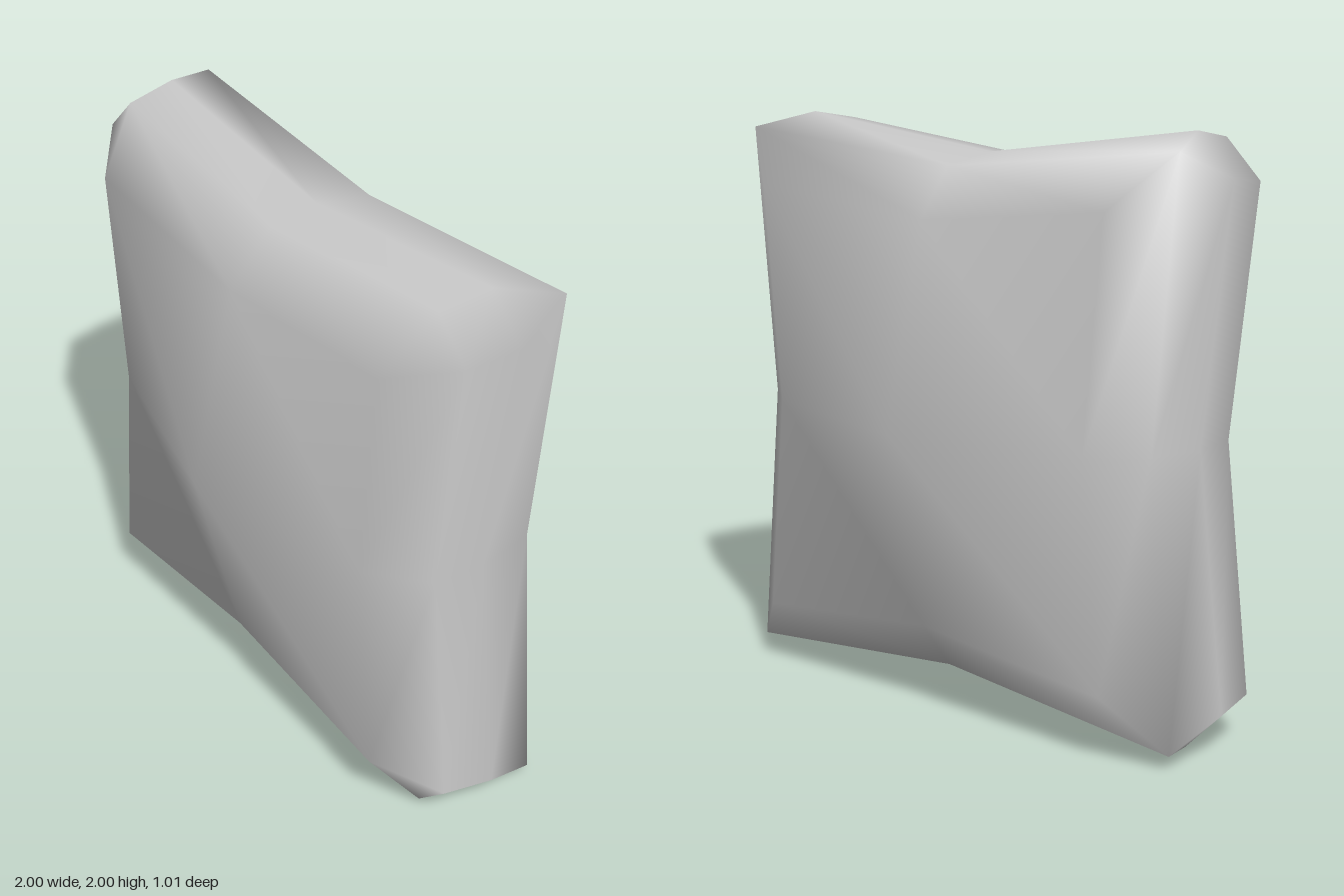
import * as THREE from 'three';
import { mergeVertices } from 'three/addons/utils/BufferGeometryUtils.js';

// Cross-sections from front to back:
// z, reach of the corners, start of the corner cut, reach at the side middles
const RINGS = [
  [0.34, 0.765, 0.765, 0.69],
  [0.18, 0.972, 0.84, 0.875],
  [0, 1, 0.86, 0.895],
  [-0.21, 0.95, 0.95, 0.86],
  [-0.34, 0.765, 0.765, 0.69],
];
const PER_RING = 12;
const PUFF = 0.505;

function cushionGeometry() {
  const positions = [];
  const index = [];

  // Pinched square outline: a side middle and two corner points, turned four times
  for (const [z, reach, cut, middle] of RINGS) {
    for (let q = 0; q < 4; q++) {
      for (const [px, py] of [[middle, 0], [reach, cut], [cut, reach]]) {
        let x = px, y = py;
        for (let i = 0; i < q; i++) [x, y] = [-y, x];
        positions.push(x, y + 1, z);
      }
    }
  }

  // Rounded rim between neighbouring sections
  const tri = (a, b, c) => index.push(a, b, c);
  for (let r = 0; r < RINGS.length - 1; r++) {
    for (let j = 0; j < PER_RING; j++) {
      const k = (j + 1) % PER_RING;
      const a = r * PER_RING + j, a1 = r * PER_RING + k;
      const b = a + PER_RING, b1 = a1 + PER_RING;
      tri(a, b, b1);
      tri(a, b1, a1);
    }
  }

  // Puffed front and back, four quads each, all split along the same slant
  for (const front of [true, false]) {
    const start = front ? 0 : (RINGS.length - 1) * PER_RING;
    const centre = positions.length / 3;
    positions.push(0, 1, front ? PUFF : -PUFF);
    const face = (a, b, c) => (front ? tri(a, b, c) : tri(a, c, b));
    for (let q = 0; q < 4; q++) {
      const m0 = start + q * 3, corner = m0 + 1;
      const m1 = start + ((q + 1) % 4) * 3;
      if ((q % 2 === 0) === front) {
        face(centre, m0, m1);
        face(m0, corner, m1);
      } else {
        face(centre, m0, corner);
        face(centre, corner, m1);
      }
    }
  }

  // Weld shared corners and drop the collapsed triangles
  let geometry = new THREE.BufferGeometry();
  geometry.setAttribute('position', new THREE.Float32BufferAttribute(positions, 3));
  geometry.setIndex(index);
  geometry = mergeVertices(geometry);
  const welded = Array.from(geometry.index.array);
  const kept = [];
  for (let i = 0; i < welded.length; i += 3) {
    const [a, b, c] = welded.slice(i, i + 3);
    if (a !== b && b !== c && c !== a) kept.push(a, b, c);
  }
  geometry.setIndex(kept);
  geometry.computeVertexNormals();
  return geometry;
}

export function createModel() {
  const group = new THREE.Group();
  group.name = 'pillow';
  const cushion = new THREE.Mesh(
    cushionGeometry(),
    new THREE.MeshStandardMaterial({ color: 0xcccccc })
  );
  cushion.name = 'cushion';
  group.add(cushion);
  return group;
}
